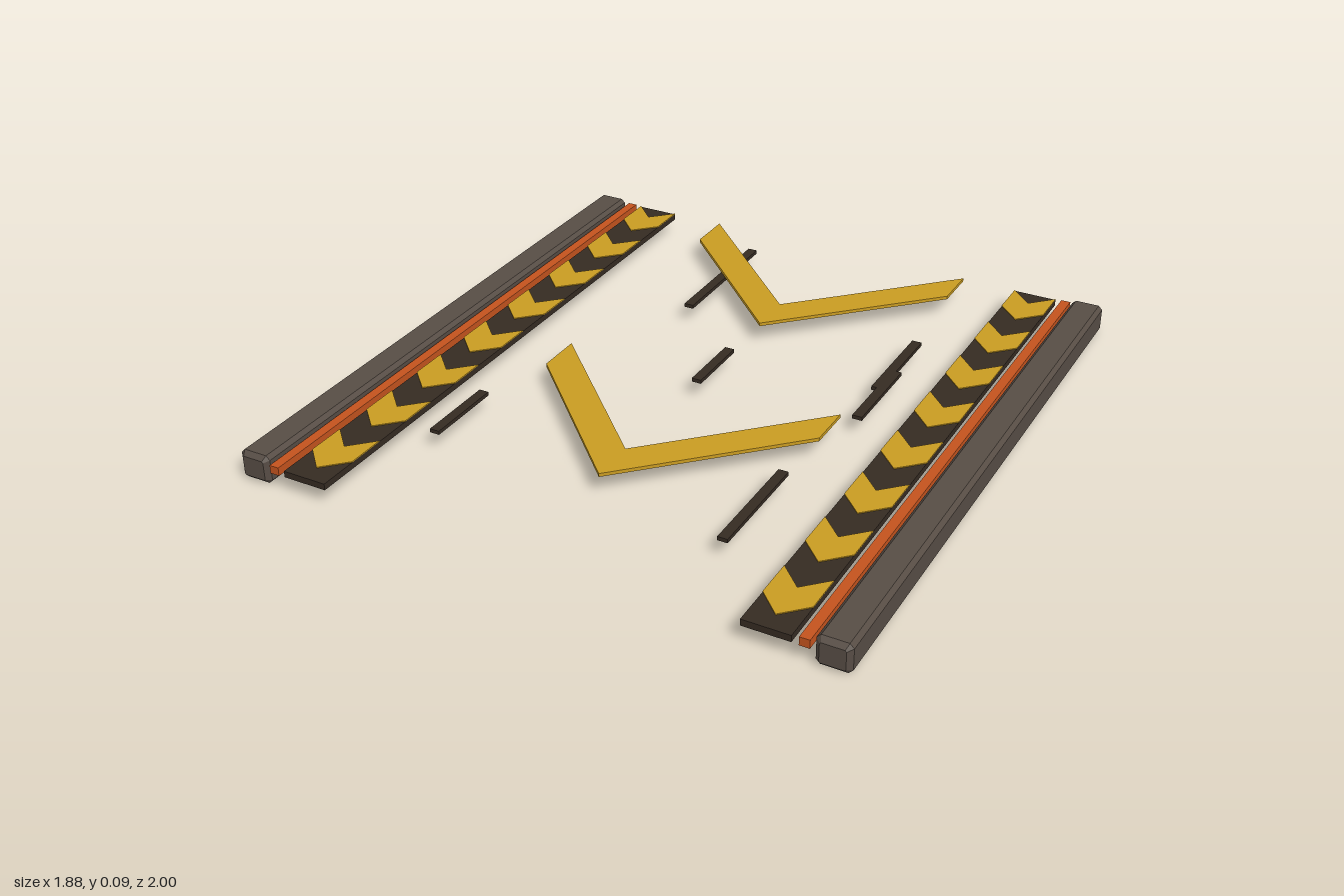
import * as THREE from 'three';

const mat = (name, color, extra = {}) => {
  const m = new THREE.MeshStandardMaterial({ color, ...extra });
  m.name = name;
  return m;
};

export function createModel() {
  const railGrey = mat('rail grey', 0x574d45, { flatShading: true });
  const darkBrown = mat('dark brown', 0x352b22);
  const hazardYellow = mat('hazard yellow', 0xc99c22);
  const stripOrange = mat('strip orange', 0xc4531e);

  const model = new THREE.Group();
  model.name = 'laneMarkings';

  const add = (parent, name, geometry, material, x = 0, y = 0, z = 0) => {
    const mesh = new THREE.Mesh(geometry, material);
    mesh.name = name;
    mesh.position.set(x, y, z);
    parent.add(mesh);
    return mesh;
  };

  // V-shaped plate pointing to +z: outer back corners at z = 0, lying flat
  const chevron = (half, depth, width, thick) => {
    const s = new THREE.Shape([
      [-half, 0], [0, -depth], [half, 0],
      [half, -width], [0, -depth - width], [-half, -width],
    ].map(([x, y]) => new THREE.Vector2(x, y)));
    const g = new THREE.ExtrudeGeometry(s, { depth: thick, bevelEnabled: false });
    return g.rotateX(-Math.PI / 2);
  };

  // Chamfered bar: octagonal section with bevelled ends
  const chamferedBar = (w, h, len, c) => {
    const a = w / 2 - c, b = h / 2 - c;
    const k = 0.004; // small corner cut of the core, widened by the bevel
    const s = new THREE.Shape([
      [-a, -b + k], [-a + k, -b], [a - k, -b], [a, -b + k],
      [a, b - k], [a - k, b], [-a + k, b], [-a, b - k],
    ].map(([x, y]) => new THREE.Vector2(x, y)));
    const g = new THREE.ExtrudeGeometry(s, {
      depth: len - 2 * c, bevelEnabled: true, bevelSegments: 1, bevelSize: c, bevelThickness: c,
    });
    return g.translate(0, 0, -len / 2 + c);
  };

  const railGeo = chamferedBar(0.1, 0.09, 2, 0.014);
  const stripGeo = new THREE.BoxGeometry(0.03, 0.026, 2);
  const baseGeo = new THREE.BoxGeometry(0.14, 0.02, 2);
  const smallChevron = chevron(0.07, 0.07, 0.125, 0.003);

  // Kerb rail, orange strip and hazard band on each side
  for (const side of [-1, 1]) {
    const edge = new THREE.Group();
    edge.name = side > 0 ? 'leftEdge' : 'rightEdge';
    model.add(edge);
    add(edge, 'rail', railGeo, railGrey, side * 0.89, 0.045);
    add(edge, 'orangeStrip', stripGeo, stripOrange, side * 0.815, 0.06);
    add(edge, 'hazardBase', baseGeo, darkBrown, side * 0.71, 0.059);
    for (let i = 0; i < 8; i++) {
      add(edge, 'hazardChevron', smallChevron, hazardYellow, side * 0.71, 0.069, -1 + i * 0.25);
    }
  }

  // Large direction arrows in the lane
  const bigChevron = chevron(0.46, 0.457, 0.147, 0.011);
  for (const z of [-1, 0]) add(model, 'laneArrow', bigChevron, hazardYellow, 0, 0.061, z);

  // Dark skid marks: x centre, z start, z end
  const marks = [
    [-0.27, -0.885, -0.42], [-0.017, -0.22, 0], [-0.546, 0.36, 0.615],
    [0.438, 0.335, 0.705], [0.483, -0.535, -0.21], [0.5, -0.33, 0.03 - 0.06],
  ];
  for (const [x, z0, z1] of marks) {
    add(model, 'skidMark', new THREE.BoxGeometry(0.031, 0.012, z1 - z0), darkBrown, x, 0.056, (z0 + z1) / 2);
  }
  return model;
}
